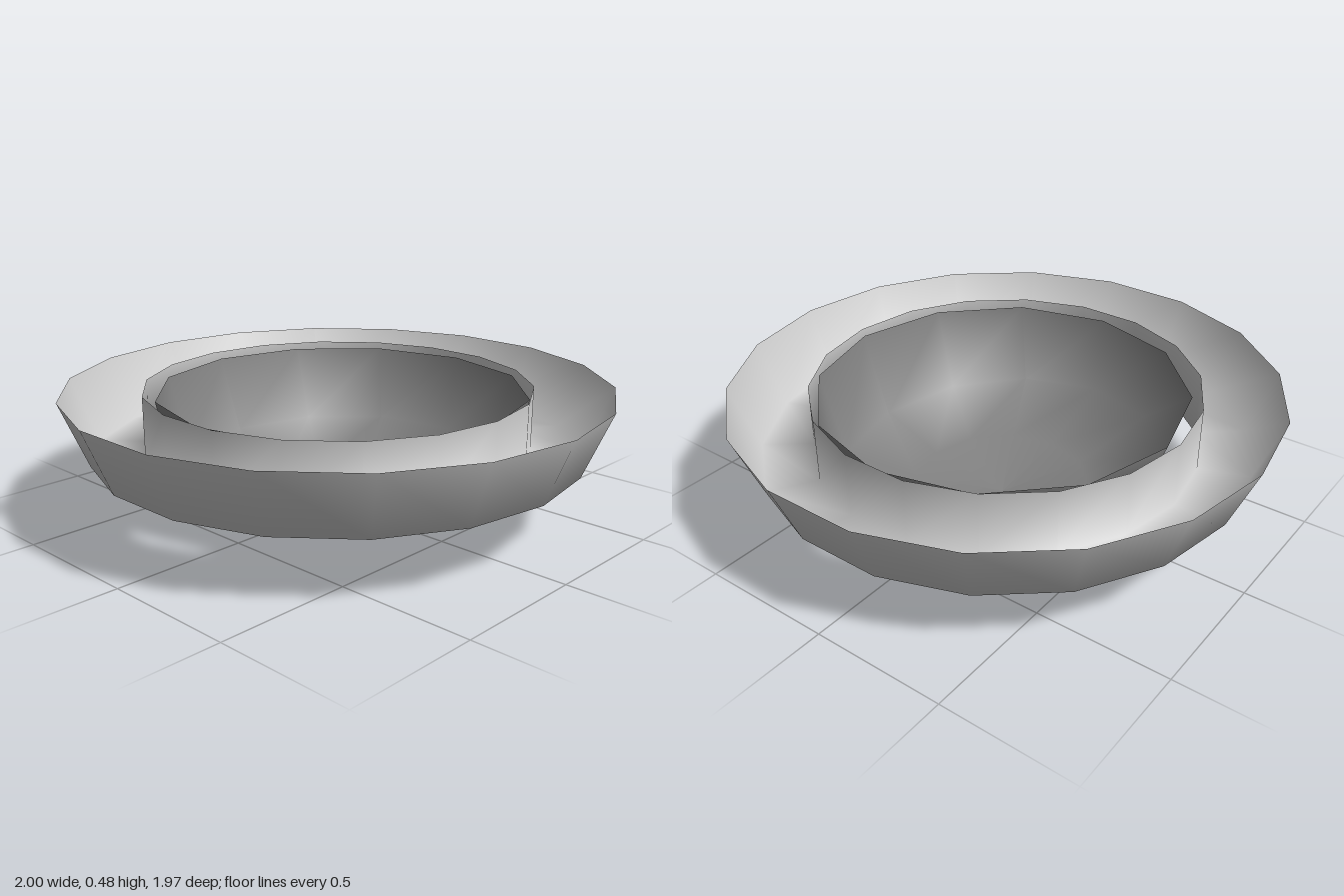
import * as THREE from 'three';

const lathe = (name, profile, sides, color) => {
  const geometry = new THREE.LatheGeometry(profile.map(([r, y]) => new THREE.Vector2(r, y)), sides);
  const material = new THREE.MeshStandardMaterial({ color, side: THREE.DoubleSide });
  const mesh = new THREE.Mesh(geometry, material);
  mesh.name = name;
  return mesh;
};

export function createModel() {
  const model = new THREE.Group();
  model.name = 'recessedFixture';

  // Trough-shaped ring: upright inner collar, flat floor, flared outer wall
  const ring = lathe('trimRing', [[0.71, 0.48], [0.71, 0.24], [0.9, 0.24], [1, 0.48]], 18, 0xcccccc);
  ring.rotation.y = Math.PI / 2; // puts a corner on the x axis
  model.add(ring);

  // Open bowl hanging loosely inside the collar
  const bowl = lathe('bowl', [[0, 0], [0.33, 0.045], [0.61, 0.16], [0.68, 0.46]], 12, 0x808080);

  // Its middle row is slightly oval and tilts down towards +x
  const p = bowl.geometry.attributes.position;
  for (let i = 0; i < p.count; i++) {
    if (Math.abs(p.getY(i) - 0.16) > 0.01) continue;
    const x = p.getX(i) * 0.95;
    p.setXYZ(i, x, 0.165 - 0.035 * x, p.getZ(i) * 1.04);
  }
  bowl.position.set(0.01, 0, -0.01);
  model.add(bowl);

  return model;
}
